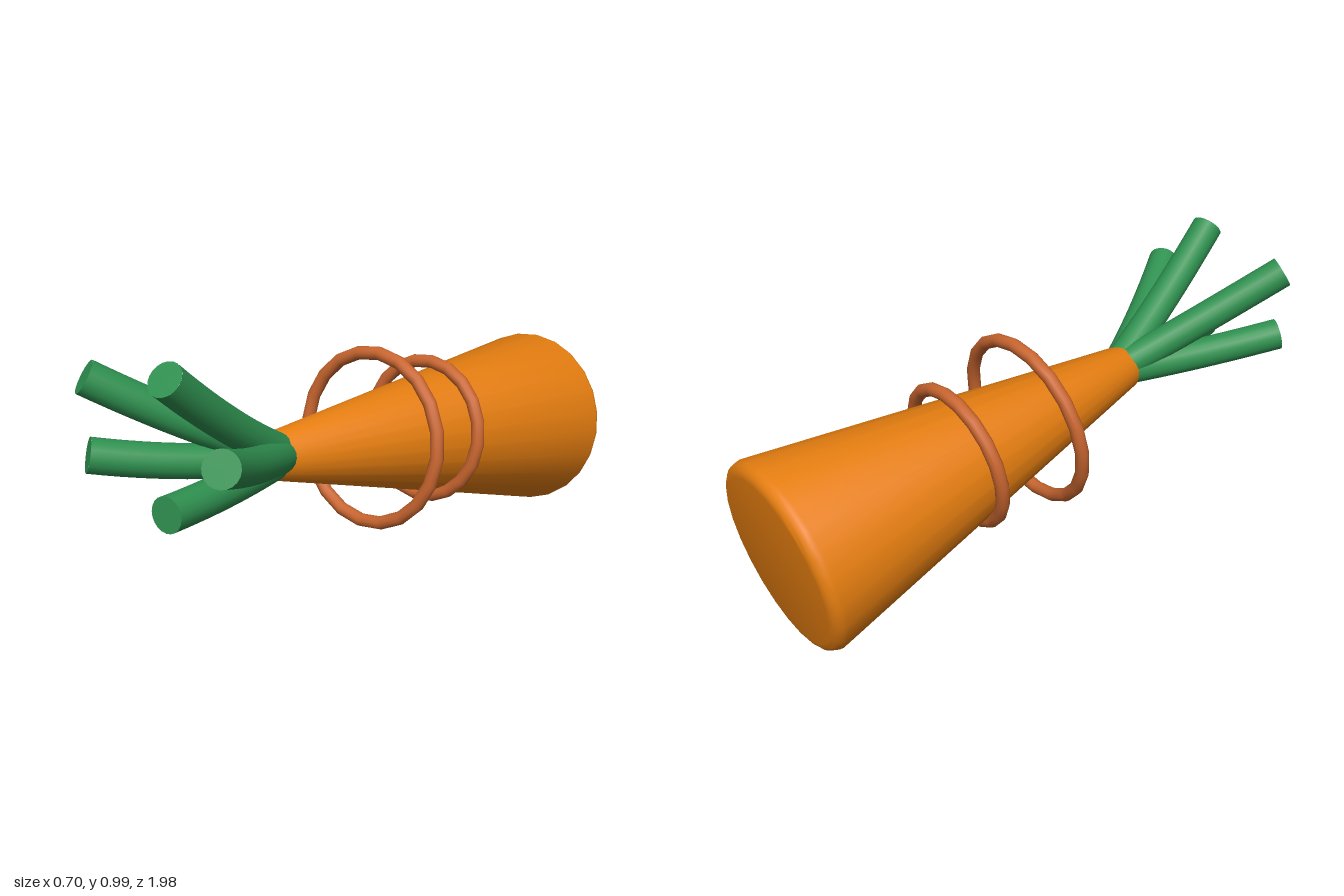
import * as THREE from 'three';
import { toCreasedNormals } from 'three/addons/utils/BufferGeometryUtils.js';

const orange = new THREE.MeshStandardMaterial({ color: 0xe67e10 });
const rust = new THREE.MeshStandardMaterial({ color: 0xc8652f });
const green = new THREE.MeshStandardMaterial({ color: 0x2f9150 });

function addMesh(parent, name, geometry, material) {
  const mesh = new THREE.Mesh(geometry, material);
  mesh.name = name;
  parent.add(mesh);
  return mesh;
}

// Curved stalk of constant thickness with a flat cut tip
function makeStalk(x, y, z, sag) {
  const stalk = new THREE.Group();
  stalk.name = 'leafStalk';
  const radius = 0.055;
  const curve = new THREE.QuadraticBezierCurve3(
    new THREE.Vector3(-0.02 + x * 0.03, 0.565 + (y - 0.72) * 0.05, 0.44),
    new THREE.Vector3(x * 0.42, 0.57 + (y - 0.57) * 0.42 - sag, 0.69),
    new THREE.Vector3(x, y, z)
  );
  addMesh(stalk, 'stalk', new THREE.TubeGeometry(curve, 12, radius, 20), green);
  const tip = addMesh(stalk, 'stalkTip', new THREE.CircleGeometry(radius, 20), green);
  tip.position.copy(curve.getPoint(1));
  tip.lookAt(tip.position.clone().add(curve.getTangent(1)));
  return stalk;
}

export function createModel() {
  const model = new THREE.Group();
  model.name = 'carrot';

  // Root and rings share an axis that rises toward the front
  const root = new THREE.Group();
  root.name = 'rootAndRings';
  root.position.set(-0.025, 0.325, -0.94);
  root.rotation.x = -Math.atan2(0.245, 1.42);
  model.add(root);

  // Tapered body with a rounded rim at the thick end
  const profile = [new THREE.Vector2(0, 0)];
  const bevel = 0.04;
  for (let i = 0; i <= 5; i++) {
    const a = (i / 5) * Math.PI / 2;
    profile.push(new THREE.Vector2(0.327 - bevel + bevel * Math.sin(a), bevel * (1 - Math.cos(a))));
  }
  profile.push(new THREE.Vector2(0.078, 1.425), new THREE.Vector2(0.068, 1.44), new THREE.Vector2(0, 1.44));
  const body = new THREE.LatheGeometry(profile, 24).rotateX(Math.PI / 2);
  addMesh(root, 'body', toCreasedNormals(body, 0.6), orange);

  // Loose rings around the body
  for (const [radius, y, z] of [[0.292, 0.01, 0.975], [0.242, 0.016, 0.685]]) {
    const ring = addMesh(root, 'ring', new THREE.TorusGeometry(radius, 0.023, 12, 20), rust);
    ring.position.set(0, y, z);
  }

  // Fan of leaf stalks at the thin end
  const tips = [
    [-0.29, 0.89, 0.955, 0.01],
    [0.075, 0.96, 0.95, 0.01],
    [0.3, 0.765, 0.96, 0.02],
    [-0.29, 0.65, 0.965, 0.03],
    [0.075, 0.57, 0.975, 0.025],
  ];
  for (const t of tips) model.add(makeStalk(...t));

  return model;
}
